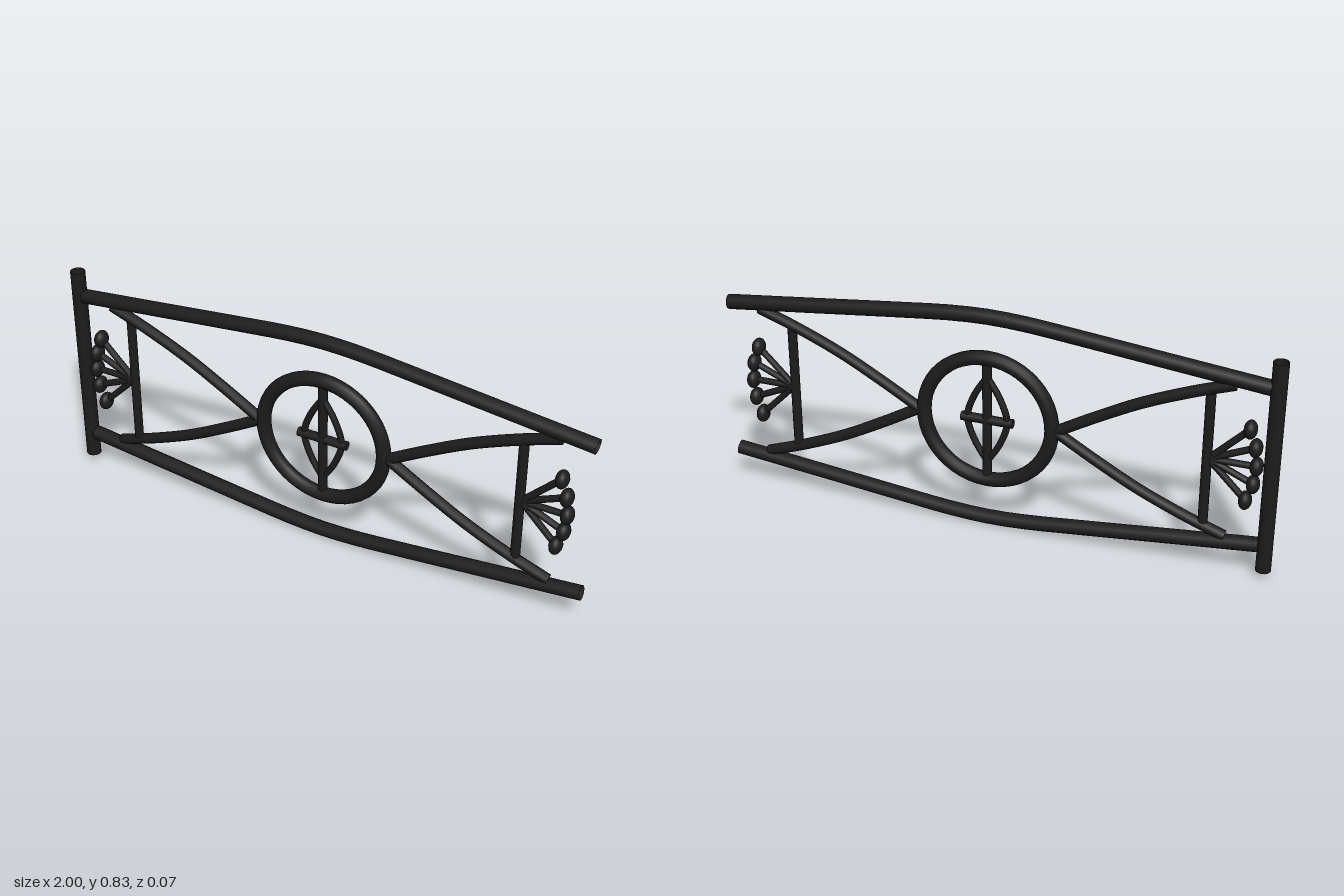
import * as THREE from 'three';

const MID = 0.42; // height of the horizontal mirror line
const CX = 0.023; // centre of the ring and rails

export function createModel() {
  const model = new THREE.Group();
  model.name = 'ironworkPanel';
  const iron = new THREE.MeshStandardMaterial({ color: 0x1c1c1c, side: THREE.DoubleSide });
  iron.name = 'blackIron';

  const add = (name, geometry, parent = model) => {
    const mesh = new THREE.Mesh(geometry, iron);
    mesh.name = name;
    parent.add(mesh);
    return mesh;
  };
  // Round bar through a few points in the z = 0 plane
  const bar = (name, points, radius, parent) => {
    const path = points.map(([x, y]) => new THREE.Vector3(x, y, 0));
    const curve = path.length === 2 ? new THREE.LineCurve3(...path) : new THREE.CatmullRomCurve3(path);
    return add(name, new THREE.TubeGeometry(curve, path.length === 2 ? 1 : 28, radius, 10), parent);
  };

  // Hinge post, an open pipe
  const post = add('post', new THREE.CylinderGeometry(0.027, 0.027, 0.78, 16, 1, true));
  post.position.set(-0.973, MID, 0);

  // Bowed rails and curved braces, mirrored above and below
  for (const s of [1, -1]) {
    const side = s > 0 ? 'upper' : 'lower';
    const rail = [[-0.975, 0.294], [-0.65, 0.329], [-0.3, 0.367], [-0.14, 0.383], [0, 0.389],
      [0.14, 0.383], [0.3, 0.367], [0.65, 0.329], [0.975, 0.294]];
    bar(side + 'Rail', rail.map(([x, y]) => [CX + x, MID + s * y]), 0.027);
    for (const m of [1, -1]) {
      const brace = [[0.25, 0], [0.4, 0.086], [0.55, 0.165], [0.72, 0.237], [0.855, 0.285]];
      bar(side + (m > 0 ? 'Left' : 'Right') + 'Brace',
        brace.map(([x, y]) => [CX + m * x, MID + s * y]), 0.02);
    }
  }

  // Central ring with its cross and lens-shaped ornament
  const ring = add('ring', new THREE.TorusGeometry(0.235, 0.026, 12, 48));
  ring.position.set(CX - 0.002, MID, 0);
  const ornament = new THREE.Group();
  ornament.name = 'ringOrnament';
  ornament.position.set(CX - 0.002, MID, 0);
  model.add(ornament);
  bar('uprightBar', [[0, -0.22], [0, 0.22]], 0.017, ornament);
  const cross = add('crossBar', new THREE.CylinderGeometry(0.017, 0.017, 0.19, 10), ornament);
  cross.rotation.z = Math.PI / 2;
  for (const m of [1, -1]) {
    bar('lensArc', [[0, -0.165], [m * 0.048, -0.085], [m * 0.073, 0], [m * 0.048, 0.085], [0, 0.165]],
      0.012, ornament);
  }

  // Uprights with fans of budded stems at both ends
  for (const m of [1, -1]) {
    const fan = new THREE.Group();
    fan.name = m > 0 ? 'leftFan' : 'rightFan';
    model.add(fan);
    bar('upright', [[m * 0.755, 0.175], [m * 0.755, 0.665]], 0.017, fan);
    for (const [x, y] of [[0.893, 0.133], [0.915, 0.068], [0.922, 0], [0.915, -0.068], [0.893, -0.133]]) {
      bar('stem', [[m * 0.76, MID], [m * x, MID + y]], 0.012, fan);
      const bud = add('bud', new THREE.SphereGeometry(0.033, 16, 12), fan);
      bud.scale.x = 0.7;
      bud.position.set(m * x, MID + y, 0);
    }
  }
  return model;
}
